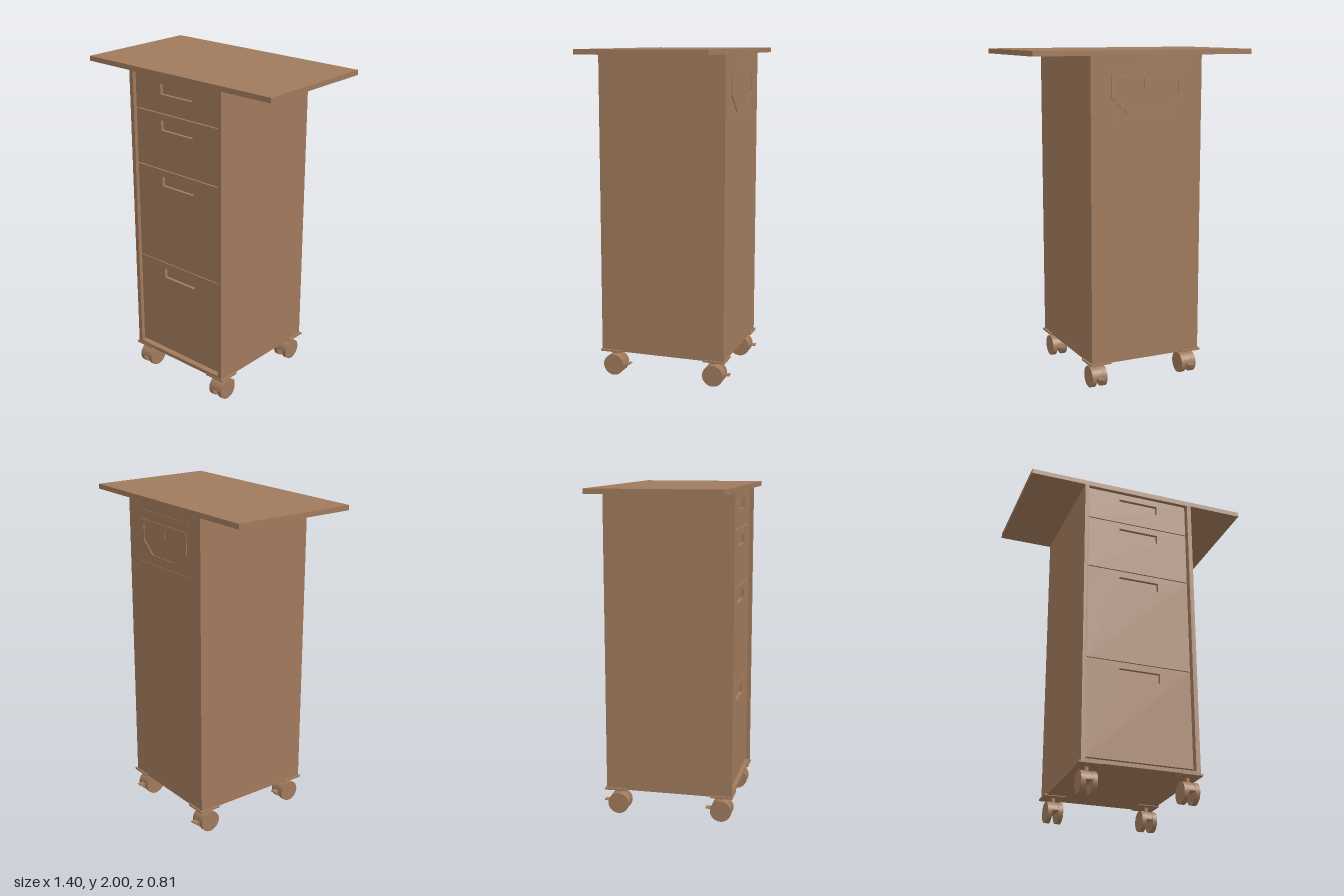
import * as THREE from 'three';

const wood = new THREE.MeshStandardMaterial({ color: 0xa07a5c });
wood.name = 'warm wood';

function add(parent, name, geometry, x = 0, y = 0, z = 0) {
  const mesh = new THREE.Mesh(geometry, wood);
  mesh.name = name;
  mesh.position.set(x, y, z);
  parent.add(mesh);
  return mesh;
}

// Box given by its limits on each axis
function block(parent, name, x0, x1, y0, y1, z0, z1) {
  return add(parent, name, new THREE.BoxGeometry(x1 - x0, y1 - y0, z1 - z0),
    (x0 + x1) / 2, (y0 + y1) / 2, (z0 + z1) / 2);
}

const outline = (points) => points.map(([x, y]) => new THREE.Vector2(x, y));
const rect = (x0, x1, y0, y1) => outline([[x0, y0], [x1, y0], [x1, y1], [x0, y1]]);

// Flat panel with one opening
function cutPanel(outer, inner, depth) {
  const shape = new THREE.Shape(outer);
  shape.holes.push(new THREE.Path(inner));
  return new THREE.ExtrudeGeometry(shape, { depth, bevelEnabled: false });
}

// Drawer front with a recessed finger pull
function makeDrawer(y0, y1) {
  const drawer = new THREE.Group();
  drawer.name = 'drawer';
  const x0 = -0.326, x1 = 0.32;
  const pull = rect(-0.125, 0.125, y1 - 0.1, y1 - 0.04);
  add(drawer, 'drawerFront', cutPanel(rect(x0, x1, y0, y1), pull, 0.02), 0, 0, 0.36);
  block(drawer, 'drawerBacking', x0, x1, y0, y1, 0.34, 0.36);
  return drawer;
}

// Twin-wheel swivel caster, origin on the floor below the stem
function makeCaster() {
  const caster = new THREE.Group();
  caster.name = 'caster';
  block(caster, 'mountingPlate', -0.067, 0.067, 0.154, 0.165, -0.06, 0.075);
  add(caster, 'stem', new THREE.CylinderGeometry(0.012, 0.012, 0.05, 16), 0, 0.135, 0);
  for (const side of [-1, 1]) {
    const wheel = add(caster, 'wheel', new THREE.CylinderGeometry(0.065, 0.065, 0.028, 32), side * 0.034, 0.065, 0);
    wheel.rotation.z = Math.PI / 2;
  }
  // Half-round hood between the wheels
  const arch = new THREE.Shape();
  arch.absarc(0, 0, 0.062, 0, Math.PI, false);
  arch.closePath();
  const hood = add(caster, 'hood',
    new THREE.ExtrudeGeometry(arch, { depth: 0.04, bevelEnabled: false, curveSegments: 16 }), -0.02, 0.066, 0);
  hood.rotation.y = Math.PI / 2;
  block(caster, 'brakePedal', -0.02, 0.02, 0.066, 0.072, -0.097, -0.05);
  return caster;
}

export function createModel() {
  const model = new THREE.Group();
  model.name = 'drawerTrolley';

  block(model, 'tabletop', -0.7, 0.7, 1.97, 2, -0.385, 0.4);

  // Carcass: an open-fronted box
  const carcass = new THREE.Group();
  carcass.name = 'carcass';
  model.add(carcass);
  const frame = cutPanel(rect(-0.357, 0.357, 0.158, 1.97), rect(-0.33, 0.33, 0.18, 1.967), 0.77);
  add(carcass, 'shell', frame, 0, 0, -0.37);
  block(carcass, 'backPanel', -0.357, 0.357, 0.158, 1.97, -0.38, -0.37);

  const drawers = [[0.195, 0.796], [0.801, 1.402], [1.408, 1.747], [1.753, 1.963]];
  for (const [y0, y1] of drawers) model.add(makeDrawer(y0, y1));

  // Folding bracket on the back, framed by two thin rails
  const bracket = new THREE.Group();
  bracket.name = 'backBracket';
  model.add(bracket);
  const outer = outline([[-0.23, 1.865], [-0.23, 1.73], [-0.12, 1.635], [0.12, 1.635], [0.23, 1.73], [0.23, 1.865]]);
  const inner = outline([[-0.2, 1.84], [-0.2, 1.745], [-0.108, 1.665], [0.108, 1.665], [0.2, 1.745], [0.2, 1.84]]);
  add(bracket, 'bracketFrame', cutPanel(outer, inner, 0.005), 0, 0, -0.385);
  block(bracket, 'bracketTab', -0.018, 0.018, 1.79, 1.845, -0.384, -0.38);
  for (const y of [1.605, 1.918]) block(bracket, 'bracketRail', -0.25, 0.25, y - 0.004, y + 0.004, -0.383, -0.38);

  for (const x of [-0.303, 0.303]) {
    for (const z of [-0.31, 0.33]) {
      const caster = makeCaster();
      caster.position.set(x, 0, z);
      // Rear plates reach past the back edge
      if (z < 0) caster.getObjectByName('mountingPlate').position.z = -0.013;
      model.add(caster);
    }
  }
  return model;
}
